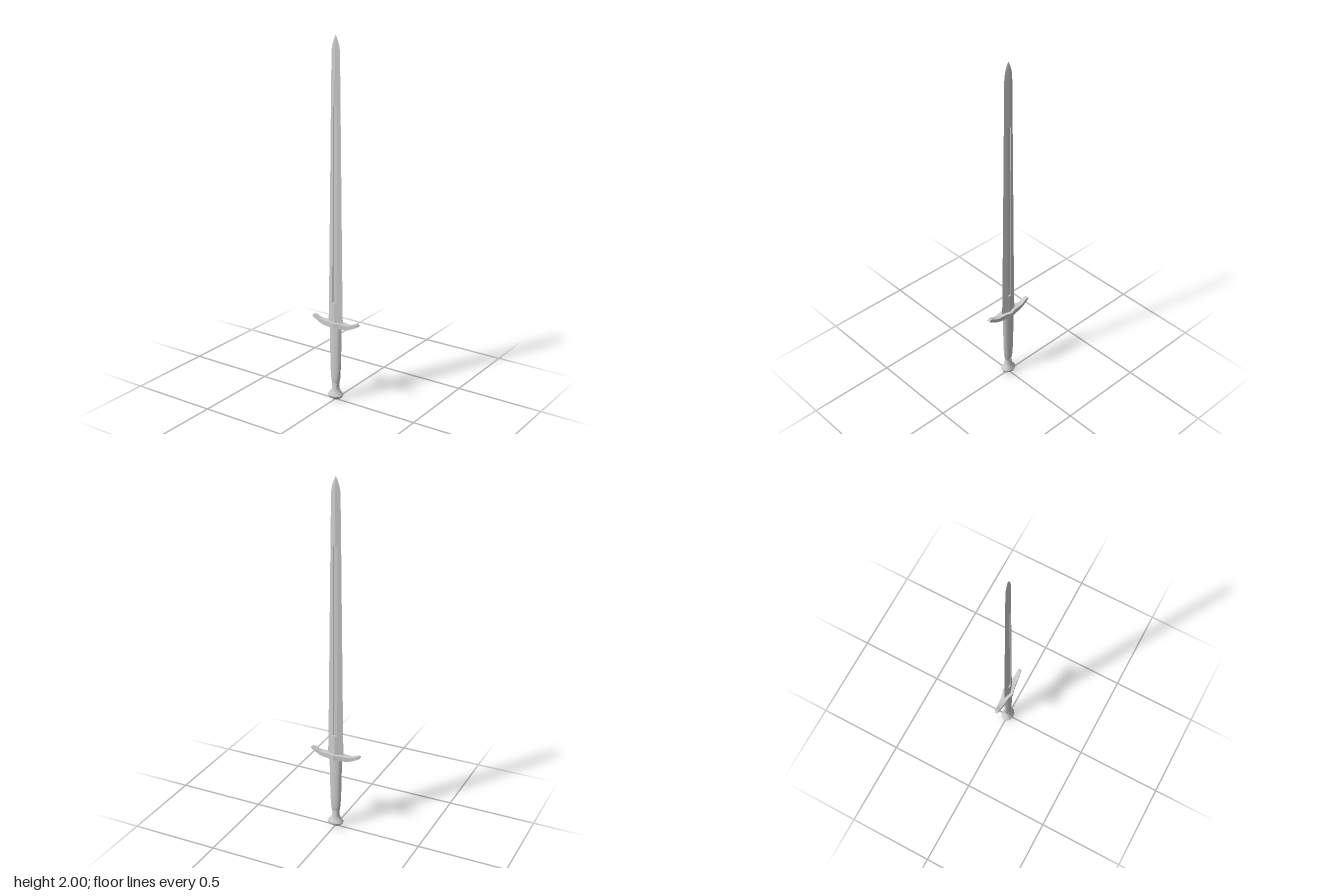
import * as THREE from 'three';
import { toCreasedNormals } from 'three/addons/utils/BufferGeometryUtils.js';

const steel = new THREE.MeshStandardMaterial({ color: 0xcccccc });

// Skin a list of equal-length rings (counter-clockwise seen from the last ring), with fan caps.
function loft(name, rings, crease) {
  const n = rings[0].length;
  const pos = rings.flat(2);
  const index = [];
  for (let r = 0; r < rings.length - 1; r++) {
    for (let i = 0; i < n; i++) {
      const a = r * n + i, b = r * n + (i + 1) % n;
      index.push(a, b, b + n, a, b + n, a + n);
    }
  }
  [[0, true], [rings.length - 1, false]].forEach(([r, flip]) => {
    const c = pos.length / 3;
    for (let k = 0; k < 3; k++) pos.push(rings[r].reduce((s, p) => s + p[k], 0) / n);
    for (let i = 0; i < n; i++) {
      const a = r * n + i, b = r * n + (i + 1) % n;
      index.push(c, flip ? b : a, flip ? a : b);
    }
  });
  const g = new THREE.BufferGeometry();
  g.setAttribute('position', new THREE.Float32BufferAttribute(pos, 3));
  g.setIndex(index);
  const mesh = new THREE.Mesh(toCreasedNormals(g, crease), steel);
  mesh.name = name;
  return mesh;
}

// Diamond section; the fuller drops the middle below the facets.
function bladeRing(y, w, t, fuller) {
  const f = Math.min(0.013, w * 0.4);
  const zf = t * (1 - f / w);
  const floor = zf - 0.004;
  const half = fuller
    ? [[f, zf], [f - 0.001, floor], [0, floor], [1 * -(f - 0.001), floor], [-f, zf]]
    : [[f, zf], [f * 0.92, t * (1 - f * 0.92 / w)], [0, t], [-f * 0.92, t * (1 - f * 0.92 / w)], [-f, zf]];
  const front = [[w, 0], ...half];
  // Counter-clockwise seen from above: +x, then -z, -x, +z.
  return [...front.map(([x, z]) => [x, y, -z]), ...front.map(([x, z]) => [-x, y, z])];
}

function makeBlade() {
  const rows = [
    [0.44, 0.047, 0.015, false],
    [0.57, 0.044, 0.014, false],
    [0.57, 0.044, 0.014, true],
    [1.1, 0.037, 0.0115, true],
    [1.64, 0.03, 0.0095, true],
    [1.64, 0.03, 0.0095, false],
    [1.92, 0.026, 0.0075, false],
    [1.95, 0.021, 0.0065, false],
    [1.98, 0.011, 0.004, false],
    [2.0, 0.0006, 0.0004, false],
  ];
  return loft('blade', rows.map((r) => bladeRing(...r)), 0.1);
}

// Crossguard: rectangular sections along x, [x, bottom, top, half depth].
function makeGuard() {
  const side = [
    [0.035, 0.428, 0.457, 0.021],
    [0.065, 0.429, 0.455, 0.0175],
    [0.09, 0.434, 0.456, 0.015],
    [0.112, 0.443, 0.463, 0.0125],
    [0.13, 0.452, 0.473, 0.0105],
    [0.141, 0.457, 0.474, 0.009],
    [0.147, 0.463, 0.469, 0.0085],
  ];
  const mirrored = side.map(([x, ...rest]) => [-x, ...rest]).reverse();
  const sections = [...mirrored, [0, 0.428, 0.457, 0.032], ...side];
  const rings = sections.map(([x, b, t, d]) => [[x, b, -d], [x, t, -d], [x, t, d], [x, b, d]]);
  return loft('crossguard', rings, 0.5);
}

// Elliptical sections up the y axis, [y, half width, half depth].
function turned(name, rows, sides, crease) {
  const rings = rows.map(([y, w, d]) => Array.from({ length: sides }, (_, i) => {
    const a = (i / sides) * Math.PI * 2;
    return [Math.cos(a) * w, y, -Math.sin(a) * d];
  }));
  return loft(name, rings, crease);
}

export function createModel() {
  const group = new THREE.Group();
  group.name = 'sword';
  group.add(makeBlade(), makeGuard());
  group.add(turned('grip', [
    [0.094, 0.017, 0.013],
    [0.104, 0.024, 0.016],
    [0.13, 0.029, 0.0175],
    [0.2, 0.033, 0.018],
    [0.32, 0.036, 0.018],
    [0.435, 0.038, 0.018],
  ], 12, 0.7));
  group.add(turned('pommel', [
    [0, 0.008, 0.006],
    [0.006, 0.026, 0.02],
    [0.017, 0.041, 0.033],
    [0.028, 0.046, 0.036],
    [0.036, 0.041, 0.032],
    [0.048, 0.03, 0.025],
    [0.065, 0.022, 0.02],
    [0.085, 0.02, 0.018],
    [0.1, 0.022, 0.016],
  ], 12, 0.6));
  return group;
}
